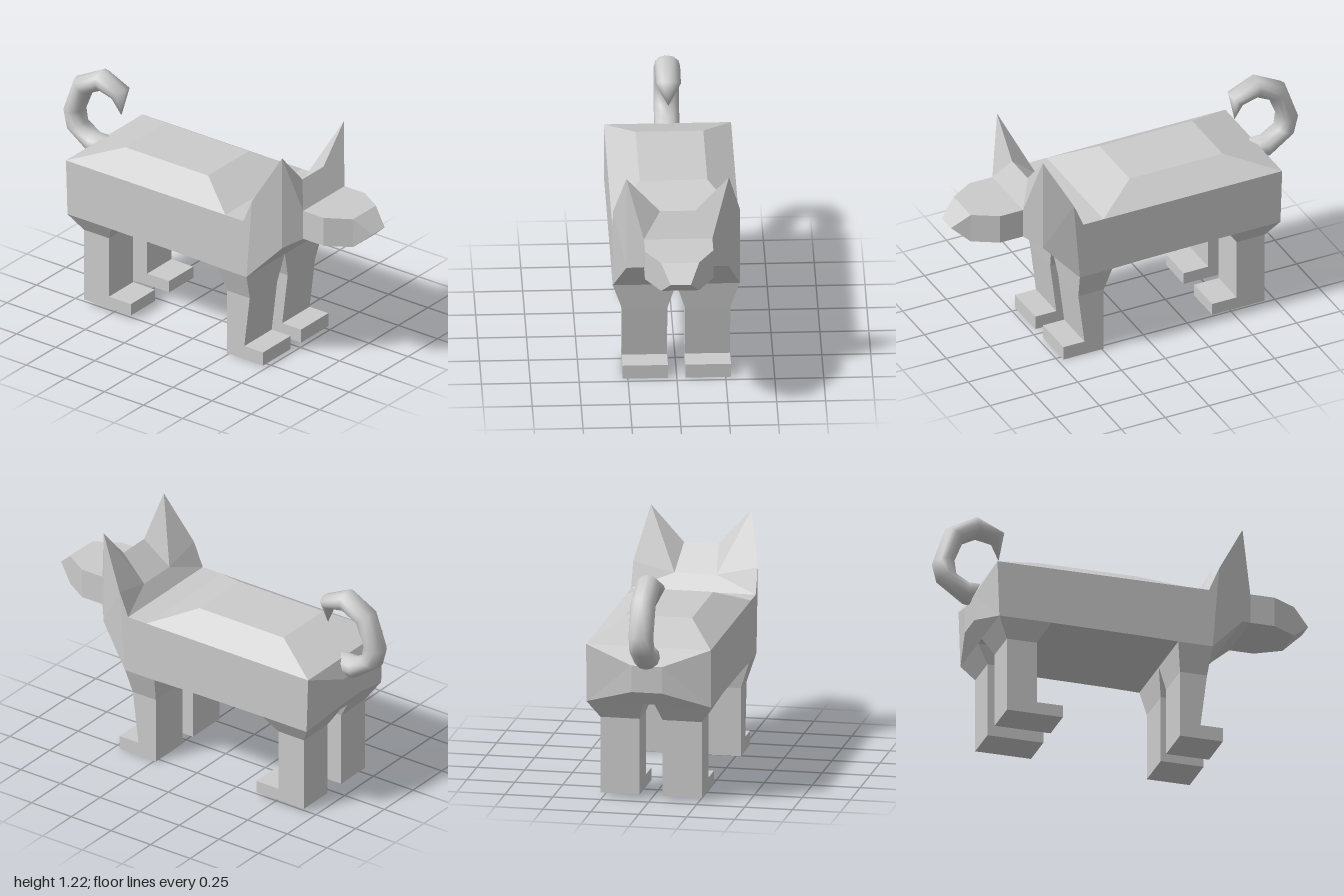
import * as THREE from 'three';
import { mergeVertices } from 'three/addons/utils/BufferGeometryUtils.js';

const material = new THREE.MeshStandardMaterial({ color: 0xcccccc });
const flatMaterial = new THREE.MeshStandardMaterial({ color: 0xcccccc, flatShading: true });

// Skin a list of closed rings (arrays of Vector3) and cap both ends.
function loft(rings, smooth = false) {
  const pos = [];
  const tri = (a, b, c) => {
    const area = b.clone().sub(a).cross(c.clone().sub(a)).length();
    if (area > 1e-7) for (const p of [a, b, c]) pos.push(p.x, p.y, p.z);
  };
  const n = rings[0].length;
  for (let r = 0; r < rings.length - 1; r++) {
    for (let i = 0; i < n; i++) {
      const j = (i + 1) % n;
      const a = rings[r][i], b = rings[r][j], c = rings[r + 1][i], d = rings[r + 1][j];
      // mirrored diagonals keep both halves alike
      if (i < n / 2) { tri(a, c, b); tri(c, d, b); }
      else { tri(a, c, d); tri(a, d, b); }
    }
  }
  const first = rings[0], last = rings[rings.length - 1];
  for (let i = 1; i < n - 1; i++) {
    tri(first[0], first[i], first[i + 1]);
    tri(last[0], last[i + 1], last[i]);
  }
  let geo = new THREE.BufferGeometry();
  geo.setAttribute('position', new THREE.Float32BufferAttribute(pos, 3));
  if (smooth) geo = mergeVertices(geo, 1e-4);
  geo.computeVertexNormals();
  return geo;
}

function add(parent, name, geo, mat = flatMaterial) {
  const mesh = new THREE.Mesh(geo, mat);
  mesh.name = name;
  parent.add(mesh);
  return mesh;
}

// Half section (bottom, side, top) mirrored across z = 0.
function mirrorRing(half) {
  const left = half.map(p => new THREE.Vector3(...p));
  const right = half.map(([x, y, z]) => new THREE.Vector3(x, y, -z)).reverse();
  return [...left, ...right];
}

// Leg from [y, x0, x1, zInner, zOuter] levels going down, plus a block foot.
function addLeg(parent, name, side, levels, toeX, footY) {
  const leg = new THREE.Group();
  leg.name = name;
  const rings = levels.map(([y, x0, x1, zi, zo]) => {
    const [z0, z1] = side > 0 ? [zi, zo] : [-zo, -zi];
    return [[x0, z1], [x1, z1], [x1, z0], [x0, z0]].map(([x, z]) => new THREE.Vector3(x, y, z));
  });
  add(leg, 'shin', loft(rings));
  const [top, x0, , zi, zo] = levels[levels.length - 1];
  const foot = add(leg, 'foot', new THREE.BoxGeometry(toeX - x0, top - footY, zo - zi));
  foot.position.set((x0 + toeX) / 2, (top + footY) / 2, side * (zi + zo) / 2);
  parent.add(leg);
}

export function createModel() {
  const group = new THREE.Group();
  group.name = 'dog';

  // Torso with a raised back panel
  const neck = [[0.4, 0.505, 0.325], [0.38, 0.82, 0.325], [0.38, 0.82, 0.325]];
  const torso = [
    [[-0.8, 0.59, 0.08], [-0.8, 0.73, 0.08], [-0.8, 0.73, 0.08]],
    [[-0.745, 0.515, 0.325], [-0.755, 0.82, 0.325], [-0.755, 0.82, 0.325]],
    [[-0.49, 0.515, 0.325], [-0.49, 0.82, 0.325], [-0.49, 0.915, 0.173]],
    [[0.04, 0.51, 0.325], [0.04, 0.82, 0.325], [0.04, 0.915, 0.173]],
    [[0.23, 0.505, 0.325], [0.265, 0.82, 0.325], [0.265, 0.82, 0.325]],
    neck,
  ];
  add(group, 'torso', loft(torso.map(mirrorRing)));

  // Head with the ears drawn up from its upper corners
  const muzzleBase = [[0.65, 0.74, 0.175], [0.65, 0.9, 0.175], [0.65, 0.9, 0.175]];
  const head = [
    neck,
    [[0.4, 0.505, 0.325], [0.435, 0.95, 0.325], [0.435, 0.9, 0.11]],
    [[0.58, 0.7, 0.262], [0.58, 1.215, 0.262], [0.58, 1.025, 0.09]],
    muzzleBase,
  ];
  add(group, 'headAndEars', loft(head.map(mirrorRing)));

  // Muzzle tapering to a wedge nose
  const muzzle = [
    muzzleBase,
    [[0.78, 0.74, 0.175], [0.78, 0.9, 0.175], [0.78, 0.9, 0.175]],
    [[0.91, 0.74, 0.097], [0.91, 0.9, 0.097], [0.91, 0.9, 0.097]],
    [[1, 0.82, 0.052], [1, 0.82, 0.052], [1, 0.82, 0.052]],
  ];
  add(group, 'muzzle', loft(muzzle.map(mirrorRing)));

  // Legs
  for (const [side, label] of [[1, 'Near'], [-1, 'Far']]) {
    addLeg(group, 'frontLeg' + label, side, [
      [0.507, 0.215, 0.4, 0, 0.325],
      [0.36, 0.24, 0.385, 0.045, 0.277],
      [0.075, 0.24, 0.35, 0.045, 0.277],
    ], 0.47, 0);
    addLeg(group, 'hindLeg' + label, side, [
      [0.515, -0.745, -0.465, 0.03, 0.325],
      [0.42, -0.685, -0.525, 0.06, 0.265],
      [0.085, -0.685, -0.525, 0.06, 0.265],
    ], -0.385, 0.02);
  }

  // Curled tail: outer and inner edge points of each ring, then a pointed tip
  const tail = [
    [-0.7, 0.7, -0.66, 0.83], [-0.83, 0.72, -0.81, 0.83], [-0.975, 0.825, -0.875, 0.865],
    [-1, 0.92, -0.885, 0.94], [-0.93, 1.12, -0.84, 1.05], [-0.77, 1.205, -0.76, 1.09],
    [-0.62, 1.13, -0.68, 1.08], [-0.645, 0.98, -0.645, 0.98],
  ];
  const sides = 12;
  const tailRings = tail.map(([ox, oy, ix, iy], k) => {
    const depth = k === tail.length - 1 ? 0 : 0.065;
    return Array.from({ length: sides }, (_, i) => {
      const t = (i / sides) * Math.PI * 2, c = Math.cos(t) / 2;
      return new THREE.Vector3((ox + ix) / 2 + (ox - ix) * c, (oy + iy) / 2 + (oy - iy) * c, -depth * Math.sin(t));
    });
  });
  add(group, 'tail', loft(tailRings, true), material);

  return group;
}
